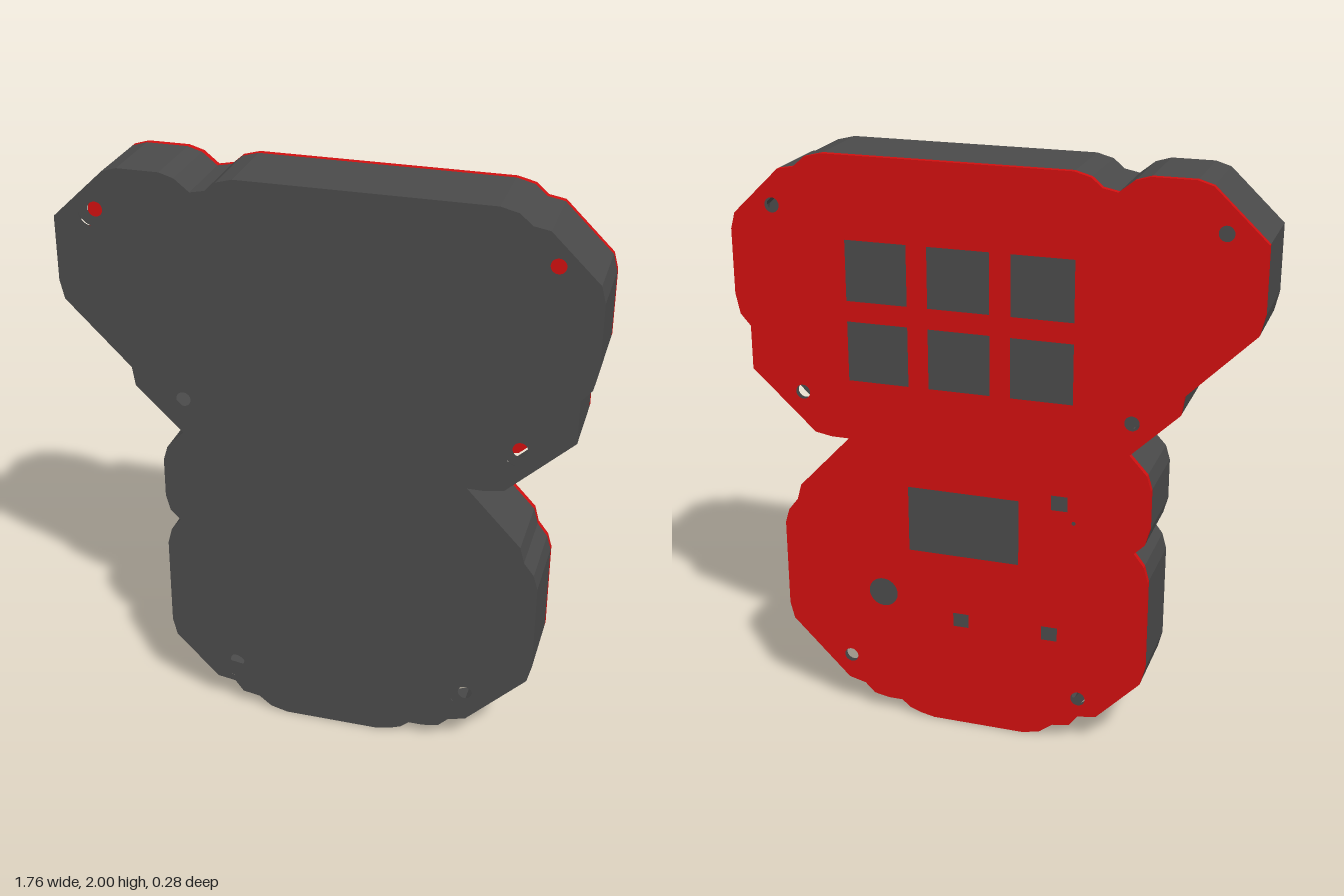
import * as THREE from 'three';

const BACK = -0.14, SEAM = -0.12, FLOOR = 0.11, FRONT = 0.14, WALL = 0.03;

// Clockwise silhouette, starting and ending on the bottom edge
const OUTLINE = [
  [-0.13, 0], [-0.19, 0.015], [-0.235, 0.05], [-0.295, 0.06], [-0.325, 0.1], [-0.39, 0.11],
  [-0.54, 0.265], [-0.555, 0.325], [-0.555, 0.65], [-0.54, 0.705], [-0.505, 0.75], [-0.54, 0.785],
  [-0.555, 0.84], [-0.555, 0.98], [-0.54, 1.03], [-0.48, 1.095], [-0.64, 1.25], [-0.65, 1.315],
  [-0.87, 1.535], [-0.885, 1.6], [-0.885, 1.82], [-0.71, 1.985], [-0.66, 2], [-0.52, 2],
  [-0.47, 1.985], [-0.42, 1.945], [-0.37, 1.955], [-0.335, 1.985], [-0.28, 2], [0.55, 2],
  [0.61, 1.985], [0.65, 1.95], [0.705, 1.94], [0.865, 1.785], [0.88, 1.73], [0.88, 1.51],
  [0.865, 1.44], [0.83, 1.4], [0.83, 1.25], [0.61, 1.045], [0.55, 1.035], [0.49, 1.035],
  [0.675, 0.84], [0.69, 0.785], [0.725, 0.74], [0.74, 0.69], [0.74, 0.375], [0.725, 0.315],
  [0.52, 0.11], [0.46, 0.095], [0.425, 0.06], [0.37, 0.05], [0.32, 0.05], [0.29, 0.025],
  [0.25, 0.01], [0.2, 0],
].map(([x, y]) => new THREE.Vector2(x, y));

const SCREWS = [[-0.755, 1.845], [0.73, 1.82], [-0.485, 1.205], [0.65, 1.185], [-0.325, 0.17], [0.51, 0.2]];
const BUTTONS = [[-0.247, 0.89], [0.1, 0.4], [-0.217, 0.4]];

// Moves every edge inward by d and joins them with mitres
function inset(points, d) {
  const n = points.length;
  const normal = (a, b) => new THREE.Vector2(b.y - a.y, a.x - b.x).normalize();
  return points.map((p, i) => {
    const n1 = normal(points[(i + n - 1) % n], p);
    const n2 = normal(p, points[(i + 1) % n]);
    return n1.clone().add(n2).multiplyScalar(d / (1 + n1.dot(n2))).add(p);
  });
}

const circle = (x, y, r) => new THREE.Path().absarc(x, y, r, 0, Math.PI * 2, true);

const rect = (x0, y0, x1, y1) => new THREE.Path([[x0, y0], [x0, y1], [x1, y1], [x1, y0]]
  .map(([x, y]) => new THREE.Vector2(x, y)));

const square = (x, y, s) => rect(x - s / 2, y - s / 2, x + s / 2, y + s / 2);

function slab(name, points, holes, z0, z1, material) {
  const shape = new THREE.Shape(points);
  shape.holes.push(...holes);
  const geometry = new THREE.ExtrudeGeometry(shape, { depth: z1 - z0, bevelEnabled: false, curveSegments: 24 });
  geometry.translate(0, 0, z0);
  const mesh = new THREE.Mesh(geometry, material);
  mesh.name = name;
  return mesh;
}

export function createModel() {
  const model = new THREE.Group();
  model.name = 'controllerCase';
  const grey = new THREE.MeshStandardMaterial({ color: 0x4a4a4a });
  const red = new THREE.MeshStandardMaterial({ color: 0xd01010 });
  const inner = inset(OUTLINE, WALL);

  // Front face with counterbored screw holes
  const shell = new THREE.Group();
  shell.name = 'shell';
  shell.add(slab('frontFace', OUTLINE, SCREWS.map(([x, y]) => circle(x, y, 0.045)), FLOOR, FRONT, grey));

  // Side wall in three layers, the middle one open for the bottom port
  const portLeft = 0.19, portRight = -0.02, portBack = 0, portFront = 0.075;
  const openRing = [
    new THREE.Vector2(portRight, 0), ...OUTLINE, new THREE.Vector2(portLeft, 0),
    new THREE.Vector2(portLeft, WALL), ...[...inner].reverse(), new THREE.Vector2(portRight, WALL),
  ];
  shell.add(slab('backWall', OUTLINE, [new THREE.Path(inner)], SEAM, portBack, grey));
  shell.add(slab('portWall', openRing, [], portBack, portFront, grey));
  shell.add(slab('frontWall', OUTLINE, [new THREE.Path(inner)], portFront, FLOOR, grey));

  // Screw bosses
  for (const [x, y] of SCREWS) {
    const boss = circle(x, y, 0.06).getPoints(24).slice(0, -1);
    shell.add(slab('screwBoss', boss, [circle(x, y, 0.025)], SEAM, FLOOR, grey));
  }
  model.add(shell);

  // Back plate: screw holes, key windows, screen window, dial hole, button holes
  const holes = SCREWS.map(([x, y]) => circle(x, y, 0.025));
  for (const x of [-0.29, -0.01, 0.27]) {
    for (const y of [1.245, 1.52]) holes.push(rect(x, y, x + 0.21, y + 0.205));
  }
  holes.push(rect(-0.11, 0.65, 0.28, 0.885), circle(0.38, 0.472, 0.052), circle(-0.3, 0.83, 0.007));
  for (const [x, y] of BUTTONS) holes.push(square(x, y, 0.062));
  const cover = new THREE.Group();
  cover.name = 'cover';
  cover.add(slab('backPlate', OUTLINE, holes, BACK, SEAM, red));

  // Square guides behind the button holes
  for (const [x, y] of BUTTONS) {
    cover.add(slab('buttonGuide', square(x, y, 0.11).getPoints(), [square(x, y, 0.062)], SEAM, 0.08, red));
  }
  model.add(cover);
  return model;
}
